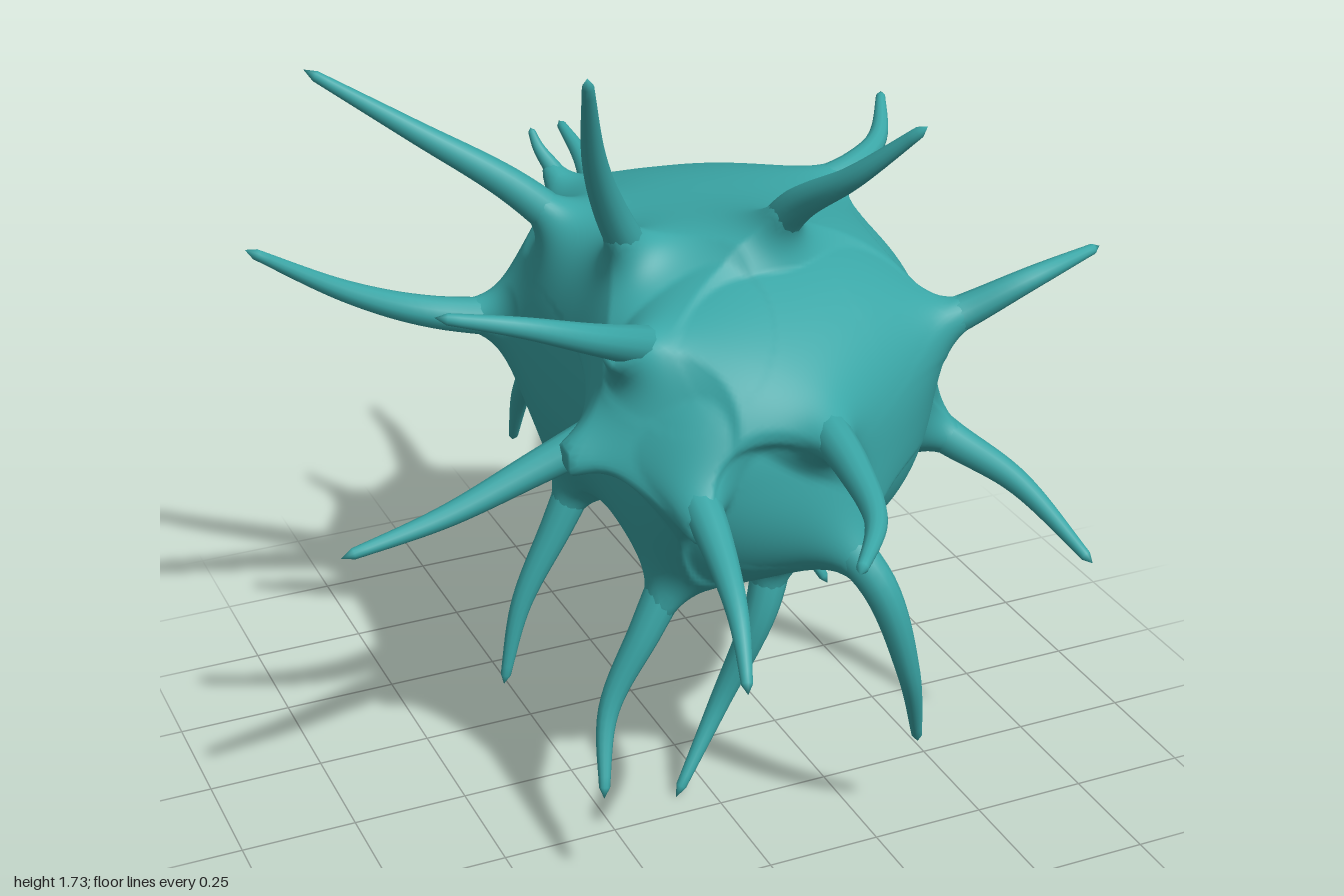
import * as THREE from 'three';
import { mergeVertices } from 'three/addons/utils/BufferGeometryUtils.js';

// Each spike: root, two path points, tip
const upperSpikes = [
  [[-0.17, 1.28, 0.1], [-0.2, 1.38, 0.14], [-0.26, 1.52, 0.21], [-0.32, 1.73, 0.33]],
  [[0.13, 1.28, 0.17], [0.15, 1.37, 0.25], [0.2, 1.48, 0.4], [0.29, 1.61, 0.52]],
  [[-0.17, 1.22, -0.2], [-0.27, 1.31, -0.23], [-0.45, 1.43, -0.31], [-0.64, 1.55, -0.43]],
  [[-0.2, 1.16, 0.32], [-0.35, 1.24, 0.4], [-0.5, 1.3, 0.42], [-0.65, 1.33, 0.38]],
  [[0.38, 1.05, 0.25], [0.5, 1.1, 0.31], [0.64, 1.17, 0.35], [0.82, 1.2, 0.32]],
  [[0.42, 1.19, -0.22], [0.53, 1.22, -0.24], [0.63, 1.25, -0.31], [0.7, 1.31, -0.43]],
  [[-0.06, 1.18, -0.43], [-0.08, 1.23, -0.48], [-0.1, 1.27, -0.51], [-0.11, 1.31, -0.53]],
];
const middleSpikes = [
  [[-0.22, 0.95, -0.36], [-0.4, 0.98, -0.39], [-0.58, 1.06, -0.38], [-0.81, 1.21, -0.35]],
  [[-0.2, 0.98, 0.25], [-0.4, 0.91, 0.25], [-0.6, 0.84, 0.25], [-0.82, 0.8, 0.26]],
  [[0.5, 1.0, -0.28], [0.6, 0.98, -0.4], [0.68, 0.93, -0.56], [0.79, 0.85, -0.72]],
  [[0.47, 0.8, 0.09], [0.57, 0.74, 0.18], [0.66, 0.68, 0.31], [0.73, 0.57, 0.52]],
  [[0.09, 1.03, 0.48], [0.07, 1.01, 0.68], [0.03, 0.99, 0.85], [-0.08, 0.98, 1.0]],
  [[0.35, 0.84, -0.5], [0.38, 0.81, -0.64], [0.43, 0.84, -0.77], [0.5, 0.87, -0.92]],
  [[0.1, 1.03, -0.58], [0.12, 1.05, -0.72], [0.14, 1.09, -0.86], [0.14, 1.13, -1.0]],
];
const lowerSpikes = [
  [[-0.15, 0.92, 0.43], [-0.18, 0.87, 0.6], [-0.21, 0.8, 0.77], [-0.24, 0.7, 0.88]],
  [[0.14, 0.78, 0.44], [0.2, 0.66, 0.56], [0.27, 0.45, 0.57], [0.34, 0.22, 0.5]],
  [[0.36, 0.66, -0.27], [0.39, 0.52, -0.3], [0.42, 0.35, -0.28], [0.49, 0.19, -0.22]],
  [[-0.1, 0.66, -0.2], [-0.19, 0.5, -0.21], [-0.28, 0.32, -0.21], [-0.33, 0.13, -0.2]],
  [[-0.1, 0.68, 0.28], [-0.2, 0.52, 0.31], [-0.29, 0.35, 0.32], [-0.33, 0.19, 0.39]],
  [[0.17, 0.55, 0.16], [0.13, 0.42, 0.17], [0.04, 0.18, 0.145], [-0.08, 0.0, 0.19]],
  [[-0.03, 0.75, -0.5], [-0.05, 0.67, -0.66], [-0.05, 0.54, -0.79], [-0.03, 0.35, -0.92]],
];

const centre = new THREE.Vector3(0.15, 0.915, -0.05);
const radii = [0.395, 0.36, 0.56];

// Front of the body leans towards its right
const lean = (z) => 0.5 * Math.max(0, z) ** 2;

// Point on the smooth body in a direction from its centre
function bodyPoint(d) {
  const power = 2.35;
  const sum = d.toArray().reduce((t, c, i) => t + Math.abs(c / radii[i]) ** power, 0);
  const p = d.clone().multiplyScalar(sum ** (-1 / power)).add(centre);
  p.x -= lean(p.z);
  return p;
}

// Curve of a spike, with its root set on the body
function makeSpike(points) {
  const path = points.map((p) => new THREE.Vector3(...p));
  const d = path[0].clone();
  d.x += lean(d.z);
  path[0] = bodyPoint(d.sub(centre).normalize());
  const curve = new THREE.CatmullRomCurve3(path);
  const length = curve.getLength();
  return {
    curve, length, root: path[0],
    axis: curve.getPointAt(0.12 / Math.max(length, 0.24)).sub(path[0]).normalize(),
    size: Math.min(1, 0.45 + 1.2 * length),
  };
}

function weld(geometry) {
  geometry.deleteAttribute('normal');
  geometry.deleteAttribute('uv');
  return mergeVertices(geometry, 1e-5);
}

// Body skin, drawn out along every spike into a flared root
function bodyGeometry(spikes) {
  const geometry = weld(new THREE.IcosahedronGeometry(1, 62));
  const pos = geometry.attributes.position;
  const d = new THREE.Vector3();
  for (let i = 0; i < pos.count; i++) {
    const base = bodyPoint(d.fromBufferAttribute(pos, i).normalize());
    const moved = base.clone();
    for (const { curve, length, root, axis, size } of spikes) {
      const offset = base.clone().sub(root);
      const distance = offset.length();
      if (distance > 0.5) continue;
      const along = offset.dot(axis);
      const across = offset.addScaledVector(axis, -along).length() / size;
      const flare = 0.055 * Math.log(1 + 0.1 / Math.max(across - 0.02, 0.009));
      const height = size * flare * Math.exp(-((distance / 0.22) ** 2));
      const start = Math.max(0, along);
      if (height <= start) continue;
      moved.add(curve.getPointAt(Math.min(1, height / length)));
      moved.sub(curve.getPointAt(Math.min(1, start / length)));
    }
    pos.setXYZ(i, moved.x, moved.y, moved.z);
  }
  geometry.computeVertexNormals();
  return geometry;
}

// Tapered curved tube, closed at the tip
function spikeGeometry({ curve, size }) {
  const rings = 24, sides = 12;
  let geometry = new THREE.TubeGeometry(curve, rings, 1, sides);
  const pos = geometry.attributes.position;
  const v = new THREE.Vector3();
  for (let i = 0; i < pos.count; i++) {
    const ring = Math.floor(i / (sides + 1));
    const t = ring / rings;
    const p = curve.getPointAt(t);
    const r = ring === rings ? 0 : size * (0.01 + 0.036 * (1 - t));
    v.fromBufferAttribute(pos, i).sub(p).multiplyScalar(r).add(p);
    pos.setXYZ(i, v.x, v.y, v.z);
  }
  geometry = weld(geometry);
  geometry.computeVertexNormals();
  return geometry;
}

export function createModel() {
  const model = new THREE.Group();
  const teal = new THREE.MeshStandardMaterial({ color: 0x3aa6a6 });
  teal.name = 'teal';

  const add = (name, geometry) => {
    const mesh = new THREE.Mesh(geometry, teal);
    mesh.name = name;
    model.add(mesh);
  };

  const groups = {
    upperSpike: upperSpikes.map(makeSpike),
    middleSpike: middleSpikes.map(makeSpike),
    lowerSpike: lowerSpikes.map(makeSpike),
  };
  add('body', bodyGeometry(Object.values(groups).flat()));
  for (const [name, spikes] of Object.entries(groups)) {
    spikes.forEach((spike, i) => add(name + (i + 1), spikeGeometry(spike)));
  }
  return model;
}
